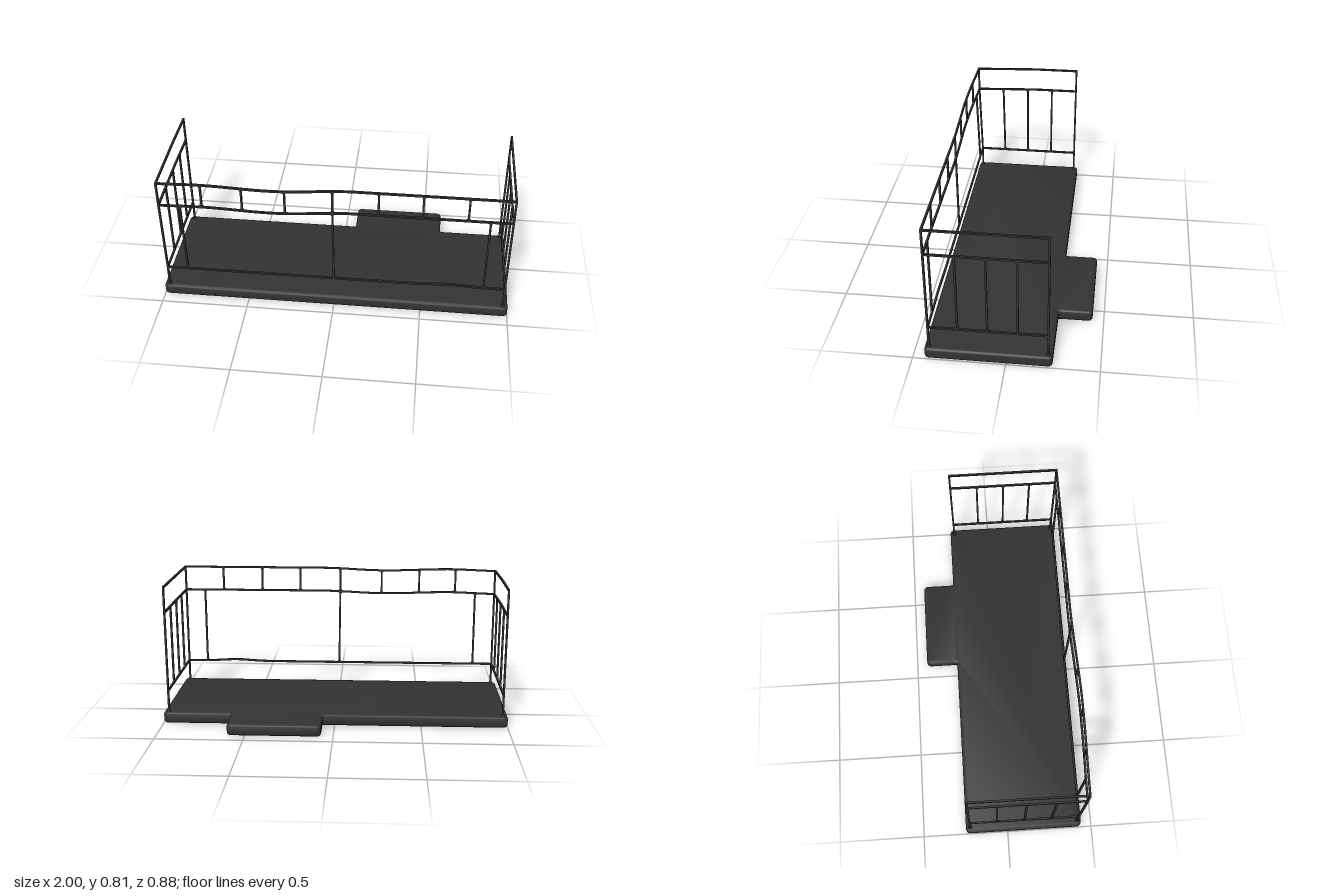
import * as THREE from 'three';
import { toCreasedNormals } from 'three/addons/utils/BufferGeometryUtils.js';

const T = 0.011; // bar thickness
const TOP = 0.806, MID = 0.66, LOW = 0.193, DECK = 0.068;
const SIDE = 0.97, FRONT = 0.414, BACK = -0.222;

// Smooth interpolation through [x, value] pairs
function ease(points, x) {
  if (x <= points[0][0]) return points[0][1];
  for (let i = 1; i < points.length; i++) {
    const [x0, a] = points[i - 1], [x1, b] = points[i];
    if (x <= x1) return a + (b - a) * THREE.MathUtils.smoothstep(x, x0, x1);
  }
  return points[points.length - 1][1];
}

const SAG = [[-0.97, -0.014], [-0.7, -0.006], [-0.3, -0.017], [0.12, 0]];
const BULGE = [[-0.97, 0.012], [-0.45, 0.019], [0.12, 0]];

// Old, bent ironwork: the upper front rails sag and lean outwards on one half
function bend(geometry) {
  const p = geometry.attributes.position;
  for (let i = 0; i < p.count; i++) {
    const x = p.getX(i), y = p.getY(i), z = p.getZ(i);
    const front = THREE.MathUtils.clamp((z - 0.05) / (FRONT - 0.05), 0, 1);
    const high = THREE.MathUtils.clamp((y - LOW) / (MID - LOW), 0, 1);
    const bump = y > 0.15 && y < 0.24 ? 0.01 * Math.exp(-(((x - 0.66) / 0.12) ** 2)) : 0;
    p.setXYZ(i,
      x - (Math.abs(x) < 0.1 ? 0.006 * high * front : 0),
      y + front * (high * ease(SAG, x) + bump),
      z + front * high * ease(BULGE, x));
  }
  geometry.computeVertexNormals();
  return geometry;
}

// Deck outline with a small radius on each corner
function deckShape(corners) {
  const shape = new THREE.Shape();
  corners.forEach(([x, y, r], i) => {
    const c = new THREE.Vector2(x, y);
    const towards = (j) => {
      const n = corners[(j + corners.length) % corners.length];
      return new THREE.Vector2(n[0], n[1]).sub(c).normalize().multiplyScalar(r).add(c);
    };
    const a = towards(i - 1), b = towards(i + 1);
    if (i === 0) shape.moveTo(a.x, a.y); else shape.lineTo(a.x, a.y);
    shape.quadraticCurveTo(x, y, b.x, b.y);
  });
  shape.closePath();
  return shape;
}

export function createModel() {
  const model = new THREE.Group();
  const iron = new THREE.MeshStandardMaterial({ color: 0x333333 });
  iron.name = 'dark grey';

  function add(parent, name, geometry) {
    const mesh = new THREE.Mesh(geometry, iron);
    mesh.name = name;
    parent.add(mesh);
  }

  // Axis-aligned square bar between two points
  function bar(parent, name, a, b) {
    const size = a.map((v, i) => Math.abs(b[i] - v) + T);
    const segments = size.map((s) => Math.max(1, Math.round(s / 0.05)));
    const g = new THREE.BoxGeometry(...size, ...segments);
    g.translate(...a.map((v, i) => (v + b[i]) / 2));
    add(parent, name, bend(g));
  }

  // Small flared weld where an upright meets a rail; dir is +1 if the rail is above
  function weld(parent, x, y, z, axis, dir) {
    const g = new THREE.BoxGeometry(T, 0.009, T);
    const p = g.attributes.position;
    for (let i = 0; i < p.count; i++) {
      if (p.getY(i) * dir > 0) p.setComponent(i, axis, p.getComponent(i, axis) * 2);
    }
    g.translate(x, y - dir * 0.01, z);
    add(parent, 'weld', bend(g));
  }

  function upright(parent, x, z, y0, y1, axis) {
    bar(parent, 'upright', [x, y0, z], [x, y1, z]);
    weld(parent, x, y1, z, axis, 1);
    weld(parent, x, y0, z, axis, -1);
  }

  // Deck slab with a step projecting from the back
  const e = 0.018; // rounded edge
  const outline = deckShape([
    [-1 + e, -0.437 + e, 0.008], [1 - e, -0.437 + e, 0.008],
    [1 - e, 0.247 - e, 0.008], [0.602 - e, 0.247 - e, 0.035],
    [0.602 - e, 0.437 - e, 0.008], [0.068 + e, 0.437 - e, 0.008],
    [0.068 + e, 0.247 - e, 0.035], [-1 + e, 0.247 - e, 0.008],
  ]);
  const slab = new THREE.ExtrudeGeometry(outline, {
    depth: DECK - 2 * e, bevelEnabled: true, bevelThickness: e, bevelSize: e,
    bevelSegments: 5, curveSegments: 5,
  });
  slab.rotateX(-Math.PI / 2).translate(0, e, 0);
  add(model, 'deck', toCreasedNormals(slab, 0.7));

  // Front railing
  const front = new THREE.Group();
  front.name = 'frontRailing';
  for (const y of [LOW, MID, TOP]) bar(front, 'rail', [-SIDE, y, FRONT], [SIDE, y, FRONT]);
  for (const x of [-0.85, 0, 0.85]) upright(front, x, FRONT, LOW, MID, 0);
  for (const x of [-0.725, -0.5, -0.265, 0, 0.245, 0.485, 0.73]) upright(front, x, FRONT, MID, TOP, 0);
  model.add(front);

  // Side railings with corner posts
  for (const s of [-1, 1]) {
    const side = new THREE.Group();
    side.name = s > 0 ? 'leftRailing' : 'rightRailing';
    const x = s * SIDE;
    for (const y of [LOW, MID, TOP]) bar(side, 'rail', [x, y, BACK], [x, y, FRONT]);
    for (const z of [0.256, 0.098, -0.062]) upright(side, x, z, LOW, MID, 2);
    for (const z of [BACK, FRONT]) {
      bar(side, 'post', [x, DECK - 0.005, z], [x, TOP, z]);
      const foot = new THREE.CylinderGeometry(0.008, 0.013, 0.01, 10);
      add(side, 'postFoot', foot.translate(x, DECK + 0.003, z));
    }
    model.add(side);
  }
  return model;
}
